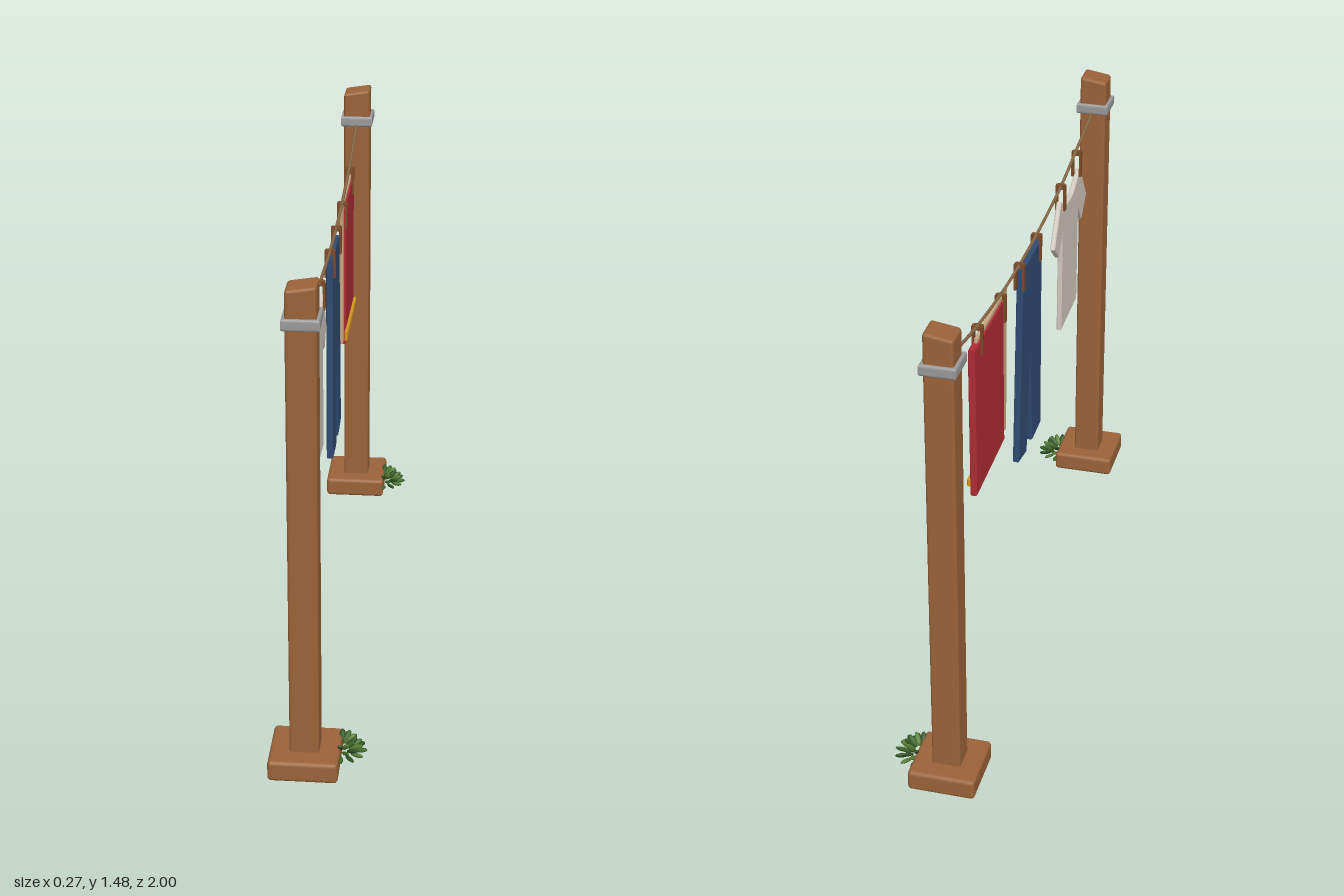
import * as THREE from 'three';
import { RoundedBoxGeometry } from 'three/addons/geometries/RoundedBoxGeometry.js';

const X = -0.035; // plane of posts, rope and laundry
const mat = (color) => new THREE.MeshStandardMaterial({ color });
const wood = mat(0x9b6339), pinWood = mat(0x7d4a28), metal = mat(0x999999), ropeMat = mat(0x8a6a48);
const white = mat(0xd2c8be), denim = mat(0x2f4a73), red = mat(0xb02c35), cream = mat(0xcdab83), gold = mat(0xd79a20);
const greens = [mat(0x3f6a28), mat(0x587f35), mat(0x2f5522)];

function add(parent, name, geometry, material, x = 0, y = 0, z = 0) {
  const mesh = new THREE.Mesh(geometry, material);
  mesh.name = name;
  mesh.position.set(x, y, z);
  parent.add(mesh);
  return mesh;
}

// Flat piece cut from a [z, y] outline, centred on x = 0
function cloth(points, thickness) {
  const bevel = 0.003, depth = thickness - 2 * bevel;
  const shape = new THREE.Shape(points.map(([z, y]) => new THREE.Vector2(-z, y)));
  const g = new THREE.ExtrudeGeometry(shape, {
    depth, bevelEnabled: true, bevelSize: bevel, bevelOffset: -bevel, bevelThickness: bevel, bevelSegments: 1,
  });
  return g.translate(0, 0, -depth / 2).rotateY(Math.PI / 2);
}

// Square post whose top is cut at a slight slant
function postGeometry() {
  const h = 1.44;
  const g = new RoundedBoxGeometry(0.085, h, 0.085, 2, 0.009);
  const p = g.attributes.position;
  for (let i = 0; i < p.count; i++) {
    if (p.getY(i) > 0) p.setY(i, p.getY(i) + p.getX(i) * 0.16);
  }
  return g.translate(0, 0.03 + h / 2, 0);
}

// Square metal collar
function collarGeometry() {
  const square = (C, r) => new C([[-r, -r], [r, -r], [r, r], [-r, r]].map(([a, b]) => new THREE.Vector2(a, b)));
  const shape = square(THREE.Shape, 0.046);
  shape.holes.push(square(THREE.Path, 0.044));
  const g = new THREE.ExtrudeGeometry(shape, {
    depth: 0.018, bevelSize: 0.006, bevelThickness: 0.008, bevelSegments: 3,
  });
  return g.translate(0, 0, -0.009).rotateX(-Math.PI / 2);
}

// Tuft of pointed leaves fanning out towards +x
function grassTuft(side) {
  const tuft = new THREE.Group();
  tuft.name = 'grassTuft';
  const leaf = new THREE.SphereGeometry(1, 6, 5).scale(0.009, 0.022, 0.006).translate(0, 0.022, 0);
  const up = new THREE.Vector3(0, 1, 0);
  for (let row = 0; row < 3; row++) {
    for (let i = 0; i < 7; i++) {
      const a = -1.5 + i * 0.5 + (row % 2) * 0.15;
      const dir = new THREE.Vector3(Math.cos(a), [0.1, 0.45, 1.0][row], Math.sin(a)).normalize();
      const r = 0.034 - row * 0.009;
      const m = add(tuft, 'leaf', leaf, greens[(i + row) % 3],
        Math.cos(a) * r, row * 0.006, Math.sin(a) * r);
      m.quaternion.setFromUnitVectors(up, dir);
    }
  }
  tuft.position.set(0.062, 0.032, 0.87 * side);
  return tuft;
}

export function createModel() {
  const model = new THREE.Group();
  model.name = 'clothesline';

  // Posts with base, collar and grass
  for (const side of [1, -1]) {
    const post = new THREE.Group();
    post.name = side > 0 ? 'frontPost' : 'backPost';
    add(post, 'base', new RoundedBoxGeometry(0.2, 0.064, 0.2, 2, 0.012), wood, X, 0.032, 0.9 * side);
    add(post, 'pole', postGeometry(), wood, X, 0, 0.897 * side);
    add(post, 'collar', collarGeometry(), metal, X, 1.371, 0.897 * side);
    post.add(grassTuft(side));
    model.add(post);
  }

  // Sagging rope
  const path = new THREE.CatmullRomCurve3([
    [0.86, 1.36], [0.63, 1.323], [0.42, 1.288], [0.2, 1.272], [0, 1.266],
    [-0.2, 1.27], [-0.42, 1.288], [-0.6, 1.312], [-0.86, 1.36],
  ].map(([z, y]) => new THREE.Vector3(X, y, z)));
  add(model, 'rope', new THREE.TubeGeometry(path, 48, 0.005, 6), ropeMat);

  // Clothes
  add(model, 'shirt', cloth([
    [0.658, 1.246], [0.749, 1.118], [0.684, 1.053], [0.631, 1.123], [0.626, 0.791], [0.412, 0.781],
    [0.417, 1.128], [0.369, 1.064], [0.31, 1.118], [0.396, 1.246], [0.44, 1.222], [0.476, 1.203],
    [0.556, 1.203], [0.6, 1.222],
  ], 0.016), white, X);
  add(model, 'trousers', cloth([
    [0.134, 1.246], [0.134, 0.599], [0.027, 0.594], [-0.005, 0.946],
    [-0.043, 0.594], [-0.139, 0.61], [-0.091, 1.246],
  ], 0.02), denim, X);

  // Towel: pale lining inside a red cover, with a gold stripe
  const towel = new THREE.Group();
  towel.name = 'towel';
  towel.position.x = X;
  add(towel, 'lining', cloth([[-0.257, 1.277], [-0.27, 0.81], [-0.58, 0.81], [-0.58, 1.277]], 0.01), cream);
  add(towel, 'cover', cloth([[-0.318, 1.262], [-0.31, 0.795], [-0.615, 0.785], [-0.625, 1.262]], 0.02), red);
  add(towel, 'stripe', cloth([[-0.27, 0.85], [-0.27, 0.822], [-0.617, 0.815], [-0.617, 0.838]], 0.01), gold, 0.014);
  model.add(towel);

  // Clothes pegs: two legs joined at the top
  for (const [z, y] of [[0.635, 1.272], [0.42, 1.25], [0.107, 1.227], [-0.096, 1.227], [-0.308, 1.232], [-0.556, 1.263]]) {
    const peg = new THREE.Group();
    peg.name = 'peg';
    for (const s of [1, -1]) add(peg, 'pegLeg', new THREE.BoxGeometry(0.007, 0.085, 0.017), pinWood, s * 0.0125);
    add(peg, 'pegHead', new THREE.BoxGeometry(0.026, 0.014, 0.017), pinWood, 0, 0.0375);
    peg.position.set(X, y, z);
    model.add(peg);
  }
  return model;
}
